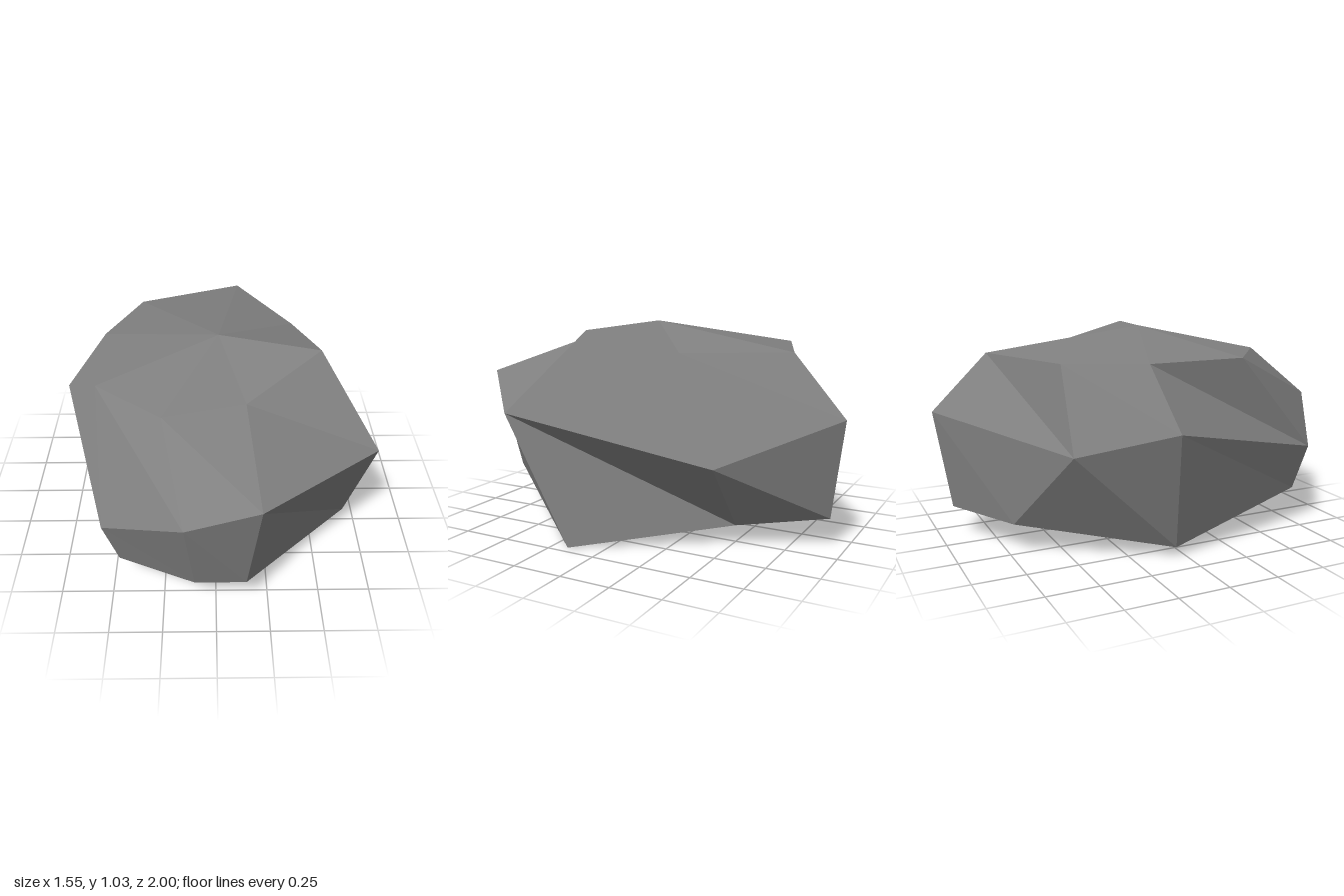
import * as THREE from 'three';

// Cross-section rings of the boulder, each running from +x round through +z
const crown = [0.02, 1.035, 0.05];
const shoulder = [
  [0.51, 1.015, 0.17], [0.14, 0.92, 0.48], [-0.24, 0.92, 0.58], [-0.56, 0.92, 0.32],
  [-0.56, 0.92, -0.17], [-0.39, 0.92, -0.53], [0.14, 0.92, -0.73], [0.41, 0.92, -0.27],
];
const waist = [
  [0.775, 0.635, 0.46], [0.19, 0.735, 1], [-0.14, 0.635, 1], [-0.525, 0.435, 0.76],
  [-0.775, 0.635, -0.12], [-0.59, 0.535, -0.55], [0.19, 0.635, -1], [0.57, 0.435, -0.52],
];
const foot = [
  [0.705, 0, 0.17], [0.14, 0.2, 0.88], [-0.1, 0.2, 0.88], [-0.46, 0.2, 0.72],
  [-0.61, 0.05, -0.05], [-0.25, 0.15, -0.73], [0.14, 0.15, -0.93], [0.3, 0.1, -0.52],
];
const base = [0.02, 0.035, 0.05];

export function createModel() {
  const corners = [];
  const bands = [[shoulder, waist], [waist, foot]];

  for (let i = 0; i < 8; i++) {
    const j = (i + 1) % 8;
    // Top and bottom fans
    corners.push(crown, shoulder[j], shoulder[i]);
    corners.push(foot[i], foot[j], base);
    // Side facets between neighbouring rings
    for (const [upper, lower] of bands) {
      corners.push(upper[i], upper[j], lower[i]);
      corners.push(upper[j], lower[j], lower[i]);
    }
  }

  const geometry = new THREE.BufferGeometry();
  geometry.setAttribute('position', new THREE.Float32BufferAttribute(corners.flat(), 3));
  geometry.computeVertexNormals(); // unshared corners keep the facets flat

  const stone = new THREE.MeshStandardMaterial({ color: 0x808080 });
  stone.name = 'greyStone';
  stone.flatShading = true;

  const boulder = new THREE.Mesh(geometry, stone);
  boulder.name = 'boulder';

  const group = new THREE.Group();
  group.name = 'rock';
  group.add(boulder);
  return group;
}
